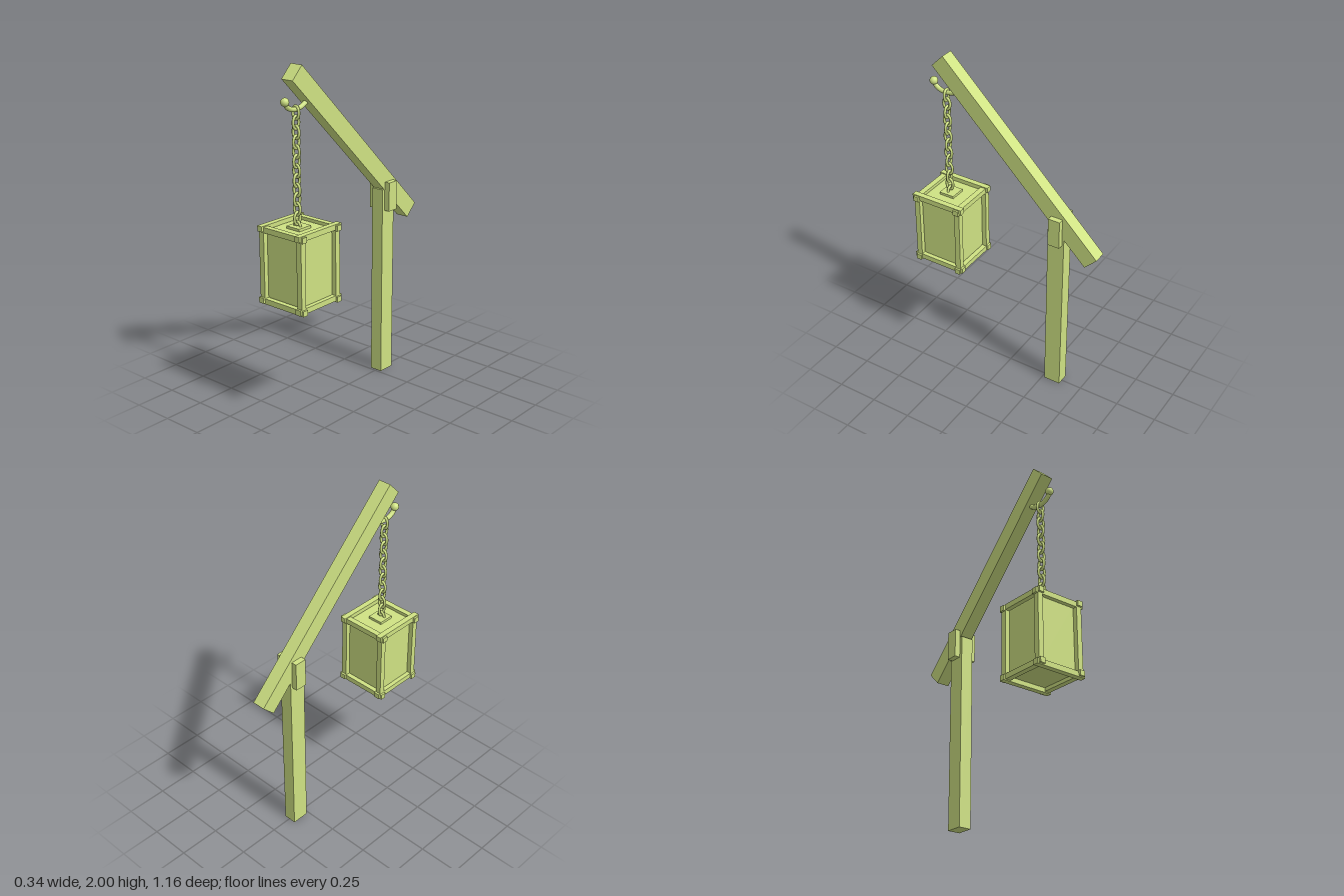
import * as THREE from 'three';
import { RoundedBoxGeometry } from 'three/addons/geometries/RoundedBoxGeometry.js';

export function createModel() {
  const model = new THREE.Group();
  model.name = 'hangingLantern';
  const material = new THREE.MeshStandardMaterial({ color: 0xcfe283 });
  const CX = -0.005;

  function add(parent, name, geometry, x, y, z) {
    const mesh = new THREE.Mesh(geometry, material);
    mesh.name = name;
    mesh.position.set(x, y, z);
    parent.add(mesh);
    return mesh;
  }
  const box = (parent, name, w, h, d, x, y, z) =>
    add(parent, name, new THREE.BoxGeometry(w, h, d), x, y, z);

  // Upright post and the slanted beam resting on it
  box(model, 'post', 0.078, 1.17, 0.105, CX, 0.585, -0.317);
  const beam = box(model, 'beam', 0.08, 0.104, 1.397, CX, 1.474, -0.045);
  beam.rotation.x = -Math.atan2(0.982, 0.995);

  // Cheek blocks clamping the beam to the post
  for (const s of [-1, 1]) {
    box(model, 'cheekBlock', 0.036, 0.175, 0.073, CX + s * 0.055, 1.127, -0.321);
  }

  // Hook with a ball at its tip
  const hook = new THREE.Group();
  hook.name = 'hook';
  model.add(hook);
  const hookPath = new THREE.CatmullRomCurve3(
    [[1.82, 0.32], [1.788, 0.35], [1.768, 0.39], [1.763, 0.43],
      [1.771, 0.47], [1.79, 0.497], [1.812, 0.508]]
      .map(([y, z]) => new THREE.Vector3(0, y, z)));
  add(hook, 'hookRod', new THREE.TubeGeometry(hookPath, 28, 0.014, 10), CX, 0, 0);
  add(hook, 'hookBall', new THREE.SphereGeometry(0.024, 18, 12), CX, 1.813, 0.508);

  // Chain of oval links, each turned a quarter from the last
  const chain = new THREE.Group();
  chain.name = 'chain';
  model.add(chain);
  const linkPath = new THREE.CatmullRomCurve3(
    Array.from({ length: 16 }, (_, i) => {
      const a = (i / 16) * Math.PI * 2;
      return new THREE.Vector3(Math.cos(a) * 0.022, Math.sin(a) * 0.036, 0);
    }), true);
  const linkGeometry = new THREE.TubeGeometry(linkPath, 28, 0.008, 8, true);
  for (let i = 0; i < 13; i++) {
    const link = add(chain, 'chainLink', linkGeometry, CX, 1.745 - i * 0.0533, 0.425);
    link.rotation.y = i % 2 ? Math.PI / 2 : 0;
  }

  // Lantern: soft-edged body inside a frame of crossed rails
  const lantern = new THREE.Group();
  lantern.name = 'lantern';
  lantern.position.set(-0.003, 0, 0.412);
  model.add(lantern);
  add(lantern, 'lanternBody', new RoundedBoxGeometry(0.262, 0.41, 0.262, 4, 0.02), 0, 0.895, 0);
  box(lantern, 'chainPlate', 0.095, 0.022, 0.095, 0, 1.104, 0.005);

  const R = 0.139; // distance of posts and rails from the lantern's axis
  for (const s of [-1, 1]) {
    for (const t of [-1, 1]) {
      box(lantern, 'cornerPost', 0.034, 0.4, 0.034, s * R, 0.895, t * R);
    }
    for (const [y, lift] of [[0.685, 0.003], [1.103, 0.003]]) {
      box(lantern, 'crossRail', 0.336, 0.032, 0.034, 0, y - lift, s * R);
      box(lantern, 'sideRail', 0.034, 0.032, 0.338, s * R, y + lift, 0);
    }
  }
  return model;
}
